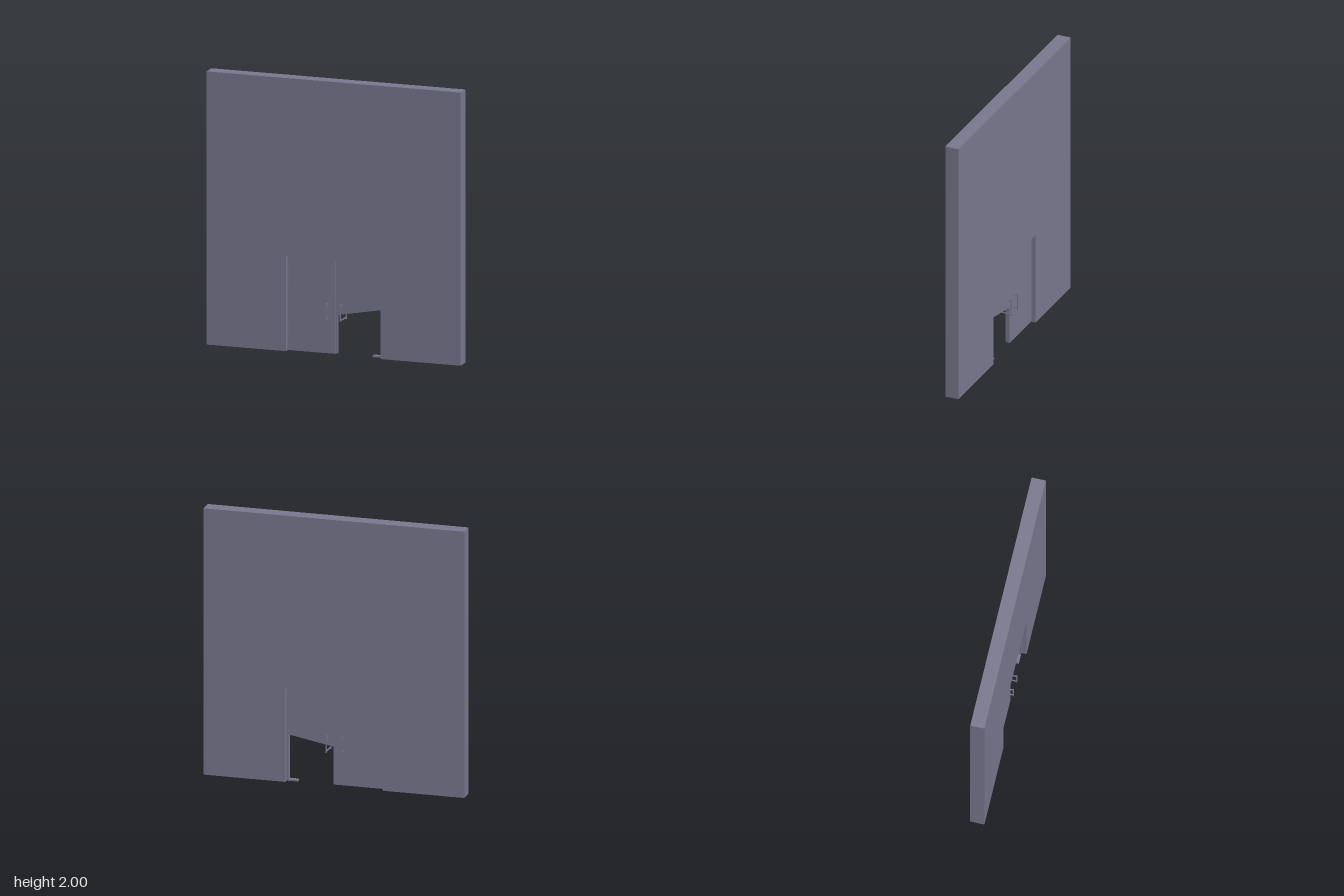
import * as THREE from 'three';

const material = new THREE.MeshStandardMaterial({ color: 0x7a798f, side: THREE.DoubleSide });
const W = 0.967, H = 2, D = 0.104;        // wall half width, height, depth
const OX = 0.362, OY = 0.697;             // doorway half width and height

function part(name, geometry, x = 0, y = 0, z = 0) {
  const mesh = new THREE.Mesh(geometry, material);
  mesh.name = name;
  mesh.position.set(x, y, z);
  return mesh;
}

// Extrude an outline of [x, y] points between two depths
function slab(points, z0, z1) {
  const shape = new THREE.Shape(points.map(([x, y]) => new THREE.Vector2(x, y)));
  return new THREE.ExtrudeGeometry(shape, { depth: z1 - z0, bevelEnabled: false }).translate(0, 0, z0);
}

// Drop the triangles that lie flat on the floor, leaving a hollow shell
function openBottom(geometry) {
  const p = geometry.attributes.position, kept = [];
  for (let i = 0; i < p.count; i += 3) {
    if (Math.max(p.getY(i), p.getY(i + 1), p.getY(i + 2)) < 1e-5) continue;
    for (let k = i; k < i + 3; k++) kept.push(p.getX(k), p.getY(k), p.getZ(k));
  }
  const shell = new THREE.BufferGeometry();
  shell.setAttribute('position', new THREE.Float32BufferAttribute(kept, 3));
  shell.computeVertexNormals();
  return shell;
}

// Thin square bar between two points
function bar(name, a, b, size = 0.008) {
  const from = new THREE.Vector3(...a), to = new THREE.Vector3(...b);
  const mesh = part(name, new THREE.BoxGeometry(size, size, from.distanceTo(to)));
  mesh.position.copy(from).add(to).multiplyScalar(0.5);
  mesh.lookAt(to);
  return mesh;
}

// Pull handle: upright grip, with standoffs back to the door
function handle(name, x, side, lean, standoffs) {
  const group = new THREE.Group();
  group.name = name;
  const z = side * 0.051;
  const at = y => x + lean * (0.376 - y) / 0.13;
  group.add(bar('grip', [at(0.246), 0.246, z], [at(0.376), 0.376, z]));
  for (const y of standoffs) group.add(bar('standoff', [at(y), y, z], [at(y), y, 0]));
  return group;
}

export function createModel() {
  const model = new THREE.Group();
  model.name = 'wallWithDoubleDoor';

  // Wall with a doorway
  model.add(part('wall', openBottom(slab([
    [-W, 0], [-OX, 0], [-OX, OY], [OX, OY], [OX, 0], [W, 0], [W, H], [-W, H],
  ], -D / 2, D / 2))));

  // Intact door, with a closing strip along its free edge
  model.add(part('intactDoor', slab([[-OX, 0.002], [0, 0.002], [0, OY], [-OX, OY]], -0.018, 0.019)));
  model.add(part('closingStrip', slab([[0, 0.002], [0.014, 0.002], [0.014, OY], [0, OY]], -0.018, 0.006)));

  // Broken door: lower panel gone, thin stile and a sliver of bottom rail left
  model.add(part('brokenDoor', slab([
    [0.014, 0.287], [0.345, 0.348], [0.345, 0.012], [0.283, 0.012], [0.277, 0],
    [OX, 0], [OX, OY], [0.014, OY],
  ], -0.02, 0.015)));

  // Hinges, two on each side
  for (const [x, z] of [[-0.356, 0.018], [0.354, 0.014]]) {
    for (const y of [0.155, 0.545]) {
      model.add(part('hinge', new THREE.CylinderGeometry(0.004, 0.004, 0.15, 8), x, y, z));
    }
  }

  // Handles front and back; those on the broken door share a loose lower rod
  for (const side of [-1, 1]) {
    model.add(handle('intactDoorHandle', -0.055, side, 0, [0.261, 0.361]));
    model.add(handle('brokenDoorHandle', 0.052, side, side < 0 ? 0.007 : 0, [0.361]));
  }
  model.add(bar('looseRod', [0.058, 0.258, -0.051], [0.052, 0.258, 0.051]));

  return model;
}
